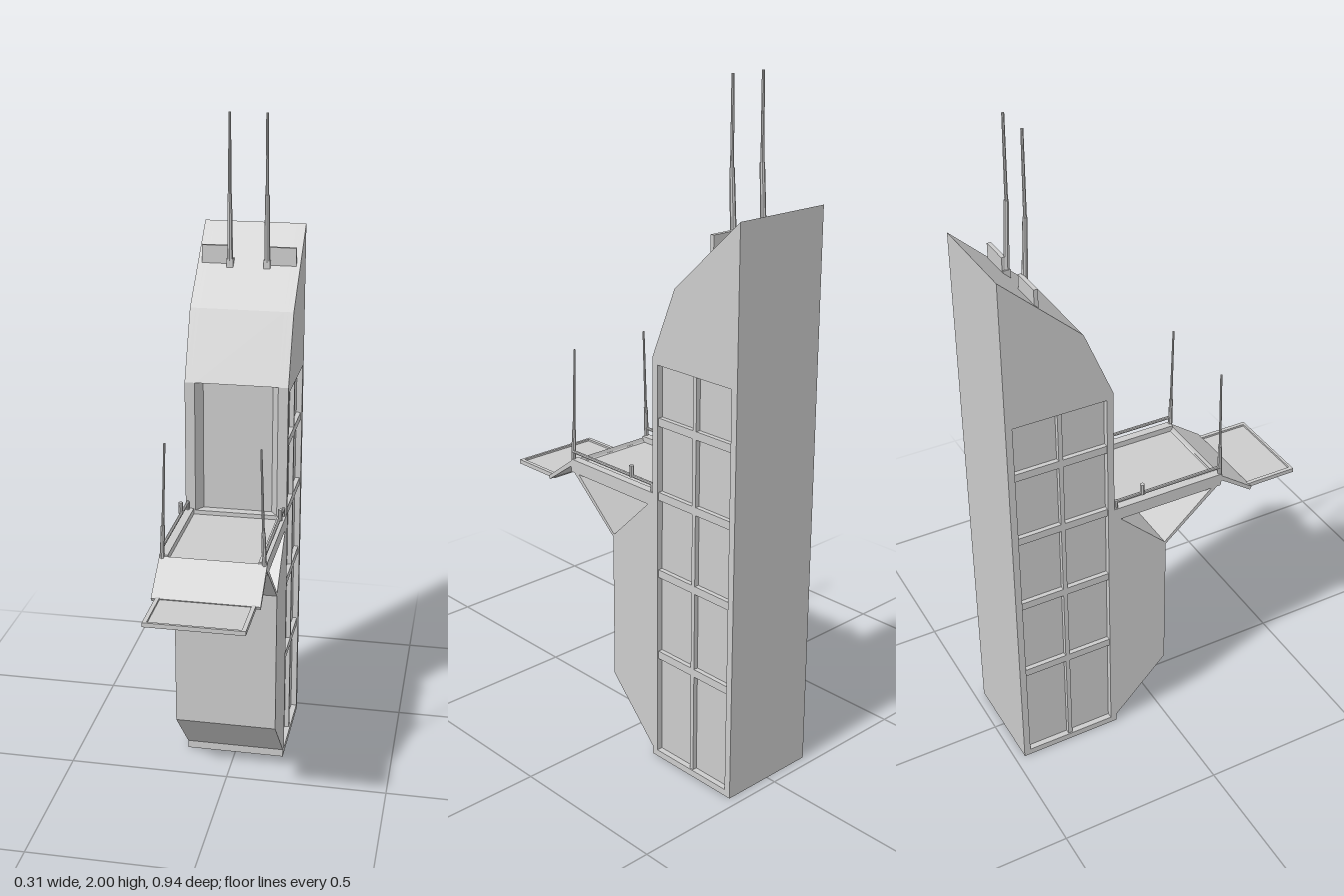
import * as THREE from 'three';

const material = new THREE.MeshStandardMaterial({ color: 0xcccccc, flatShading: true });

export function createModel() {
  const model = new THREE.Group();

  const add = (name, geometry) => {
    const mesh = new THREE.Mesh(geometry, material);
    mesh.name = name;
    model.add(mesh);
    return mesh;
  };

  // Box given by its minimum and maximum on each axis
  const box = (name, x0, x1, y0, y1, z0, z1) =>
    add(name, new THREE.BoxGeometry(x1 - x0, y1 - y0, z1 - z0)
      .translate((x0 + x1) / 2, (y0 + y1) / 2, (z0 + z1) / 2));

  // Side profile of [z, y] points, extruded from x0 to x1
  const slab = (name, points, x0, x1, hole) => {
    const shape = new THREE.Shape(points.map(p => new THREE.Vector2(...p)));
    if (hole) shape.holes.push(new THREE.Path(hole.map(p => new THREE.Vector2(...p))));
    const geometry = new THREE.ExtrudeGeometry(shape, { depth: x1 - x0, bevelEnabled: false });
    return add(name, geometry.rotateY(-Math.PI / 2).translate(x1, 0, 0));
  };

  // Tapering rod between two points
  const rod = (name, a, b, r0, r1) => {
    const from = new THREE.Vector3(...a), to = new THREE.Vector3(...b);
    const axis = to.clone().sub(from);
    const mesh = add(name, new THREE.CylinderGeometry(r1, r0, axis.length(), 8));
    mesh.position.copy(from).add(to).multiplyScalar(0.5);
    mesh.quaternion.setFromUnitVectors(new THREE.Vector3(0, 1, 0), axis.normalize());
  };

  // Same span on either side of the centre
  const spans = (a, b) => [[a, b], [-b, -a]];

  // Tower body
  const lower = [[-0.47, 0], [-0.15, 0], [-0.15, 0.025], [0.02, 0.2], [0.02, 0.655], [-0.15, 0.82]];
  const upper = [[-0.15, 1.24], [-0.235, 1.445], [-0.47, 1.66]];
  const profile = [...lower, ...upper];
  const notched = [...lower, [-0.15, 0.835], [-0.18, 0.835], [-0.18, 1.24], ...upper];
  const panel = [[-0.45, 0.02], [-0.45, 1.22], [-0.17, 1.22], [-0.17, 0.02]];
  slab('towerCore', notched, -0.125, 0.125);
  for (const [a, b] of spans(0.125, 0.137)) slab('innerSideWall', profile, a, b);
  for (const [a, b] of spans(0.137, 0.155)) slab('sideFrame', profile, a, b, panel);

  // Splayed door jambs
  for (const s of [1, -1]) {
    const shape = new THREE.Shape([[0.105, 0.18], [0.125, 0.15], [0.125, 0.18]]
      .map(([x, y]) => new THREE.Vector2(s * x, y)));
    add('doorJamb', new THREE.ExtrudeGeometry(shape, { depth: 0.405, bevelEnabled: false })
      .rotateX(-Math.PI / 2).translate(0, 0.835, 0));
  }

  // Side lattice bars
  for (const [a, b] of spans(0.137, 0.151)) {
    box('latticeUpright', a, b, 0.02, 1.22, -0.317, -0.304);
    for (const y of [0.337, 0.597, 0.835, 1.055])
      box('latticeCrossbar', a, b, y - 0.012, y + 0.012, -0.45, -0.17);
  }

  // Balcony deck with its sloped front and landing
  box('balconyDeck', -0.155, 0.155, 0.8, 0.822, -0.15, 0.205);
  slab('rampSlope', [[0.2, 0.822], [0.31, 0.745], [0.315, 0.755], [0.205, 0.835]], -0.155, 0.155);
  slab('landing', [[0.305, 0.745], [0.47, 0.745], [0.47, 0.752], [0.305, 0.752]], -0.14, 0.14);
  box('landingFrontLip', -0.14, 0.14, 0.745, 0.758, 0.465, 0.473);
  slab('underBrace', [[0.012, 0.655], [0.02, 0.65], [0.215, 0.82], [0.2, 0.825]], -0.155, 0.155);

  for (const [a, b] of spans(0.13, 0.155)) box('deckCurb', a, b, 0.815, 0.84, -0.15, 0.205);
  for (const [a, b] of spans(0.13, 0.142)) box('landingSideLip', a, b, 0.745, 0.758, 0.31, 0.473);

  for (const s of [1, -1]) {
    // Handrail, knob and masts at the deck corners
    rod('handrail', [s * 0.147, 0.862, -0.14], [s * 0.147, 0.862, 0.205], 0.005, 0.005);
    rod('handrailEnd', [s * 0.147, 0.83, -0.14], [s * 0.147, 0.866, -0.14], 0.005, 0.005);
    rod('railKnob', [s * 0.15, 0.86, -0.057], [s * 0.15, 0.895, -0.057], 0.007, 0.007);
    rod('mastBase', [s * 0.147, 0.82, 0.205], [s * 0.143, 0.93, 0.205], 0.007, 0.006);
    rod('mast', [s * 0.143, 0.93, 0.205], [s * 0.135, 1.175, 0.205], 0.004, 0.003);

    // Roof aerials and their mounting plates
    box('aerialPlate', Math.min(s * 0.05, s * 0.143), Math.max(s * 0.05, s * 0.143),
      1.55, 1.608, -0.366, -0.354);
    box('aerialFoot', s * 0.056 - 0.01, s * 0.056 + 0.01, 1.545, 1.57, -0.365, -0.343);
    rod('aerialBase', [s * 0.056, 1.55, -0.352], [s * 0.056, 1.765, -0.341], 0.009, 0.007);
    rod('aerialTip', [s * 0.056, 1.76, -0.341], [s * 0.055, 2, -0.338], 0.005, 0.004);
  }
  return model;
}
